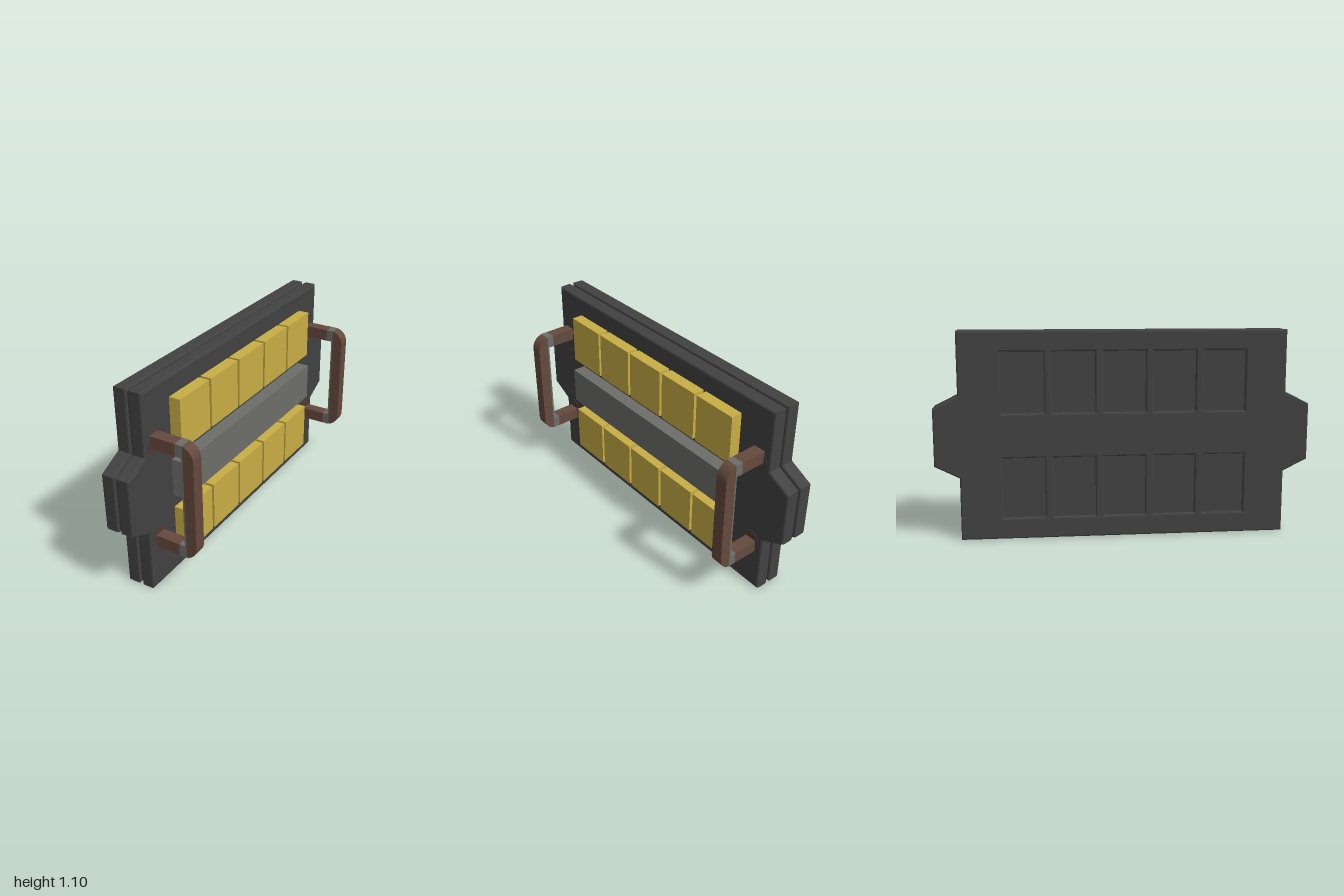
import * as THREE from 'three';

const mat = (name, color) => {
  const m = new THREE.MeshStandardMaterial({ color });
  m.name = name;
  return m;
};

export function createModel() {
  const root = new THREE.Group();
  root.name = 'armouredPanel';
  const dark = mat('darkCasing', 0x424242);
  const yellow = mat('yellowBlock', 0xc9ae45);
  const grey = mat('bareMetal', 0x6d6e69);
  const rust = mat('rustBrown', 0x65493d);
  const stain = mat('rustStain', 0x4a3d38);

  const add = (name, geo, material, parent = root) => {
    const mesh = new THREE.Mesh(geo, material);
    mesh.name = name;
    parent.add(mesh);
    return mesh;
  };
  // box given by its limits on each axis
  const box = (name, material, x0, x1, y0, y1, z0, z1, parent) => {
    const g = new THREE.BoxGeometry(x1 - x0, y1 - y0, z1 - z0);
    g.translate((x0 + x1) / 2, (y0 + y1) / 2, (z0 + z1) / 2);
    return add(name, g, material, parent);
  };
  // casing outline with an ear on each end, shrunk by d
  const outline = (d) => {
    const half = [[0.87 - d, d], [0.87 - d, 0.335 + d], [1 - d, 0.4 + d],
      [1 - d, 0.705 - d], [0.87 - d, 0.77 - d], [0.87 - d, 1.104 - d]];
    const mirrored = half.map(([z, y]) => [-z, y]).reverse();
    return new THREE.Shape([...half, ...mirrored].map(([z, y]) => new THREE.Vector2(z, y)));
  };
  // casing layer between x0 and x1
  const layer = (name, shape, x0, x1, bevel) => {
    const g = new THREE.ExtrudeGeometry(shape, {
      depth: x1 - x0 - 2 * bevel, bevelEnabled: bevel > 0, bevelThickness: bevel,
      bevelSize: bevel, bevelOffset: -bevel, bevelSegments: 2,
    });
    g.rotateY(Math.PI / 2);
    g.translate(x0 + bevel, 0, 0);
    return add(name, g, dark);
  };

  const columns = [-2, -1, 0, 1, 2].map((i) => i * 0.268);
  const pocketRows = [[0.105, 0.445], [0.665, 1.005]];
  const blockRows = [[0.11, 0.38], [0.73, 1.0]];

  // two casing halves with a groove between; the rear one has shallow pockets
  const rear = outline(0);
  for (const [y0, y1] of pocketRows) {
    for (const z of columns) {
      const a = y0 + 0.008, b = y1 - 0.008, w = 0.113;
      rear.holes.push(new THREE.Path([[z - w, a], [z - w, b], [z + w, b], [z + w, a]]
        .map(([u, v]) => new THREE.Vector2(u, v))));
      box('pocketFloor', dark, -0.18, -0.125, y0, y1, z - 0.12, z + 0.12);
    }
  }
  layer('rearCasing', rear, -0.2, -0.128, 0.008);
  layer('frontCasing', outline(0), -0.115, -0.042, 0.01);
  layer('grooveCore', outline(0.014), -0.135, -0.108, 0);

  // two rows of blocks and the bar between them
  for (const [y0, y1] of blockRows) {
    for (const z of columns) box('block', yellow, -0.05, 0.02, y0, y1, z - 0.125, z + 0.125);
  }
  box('centreBar', grey, -0.05, 0.03, 0.45, 0.66, -0.663, 0.663);

  // rounded grip of each handle, in x and y
  const grip = new THREE.Shape();
  grip.moveTo(0.14, 0.24);
  grip.absarc(0.125, 0.315, 0.075, -1.35, 0, false);
  grip.absarc(0.125, 0.795, 0.075, 0, 1.35, false);
  grip.lineTo(0.14, 0.87);
  grip.closePath();

  for (const side of [1, -1]) {
    const handle = new THREE.Group();
    handle.name = 'handle';
    handle.position.z = side * 0.795;
    root.add(handle);
    const g = new THREE.ExtrudeGeometry(grip, { depth: 0.066, bevelEnabled: false, curveSegments: 10 });
    g.translate(0, 0, -0.033);
    add('handleGrip', g, rust, handle);
    // worn inner strip of the grip
    box('handleInnerStrip', grey, 0.132, 0.141, 0.306, 0.804, -0.033, 0.033, handle);
    for (const y of [0.24, 0.803]) {
      box('handleArm', rust, -0.05, 0.1, y, y + 0.067, -0.033, 0.033, handle);
      box('handleWornElbow', grey, 0.1, 0.141, y, y + 0.067, -0.033, 0.033, handle);
    }
    // stains where the arms meet the casing
    for (const y of [0.3, 0.81]) {
      const disc = new THREE.CylinderGeometry(0.052, 0.052, 0.004, 16);
      disc.rotateZ(Math.PI / 2);
      disc.translate(-0.041, y, 0);
      add('handleStain', disc, stain, handle);
    }
  }
  return root;
}
